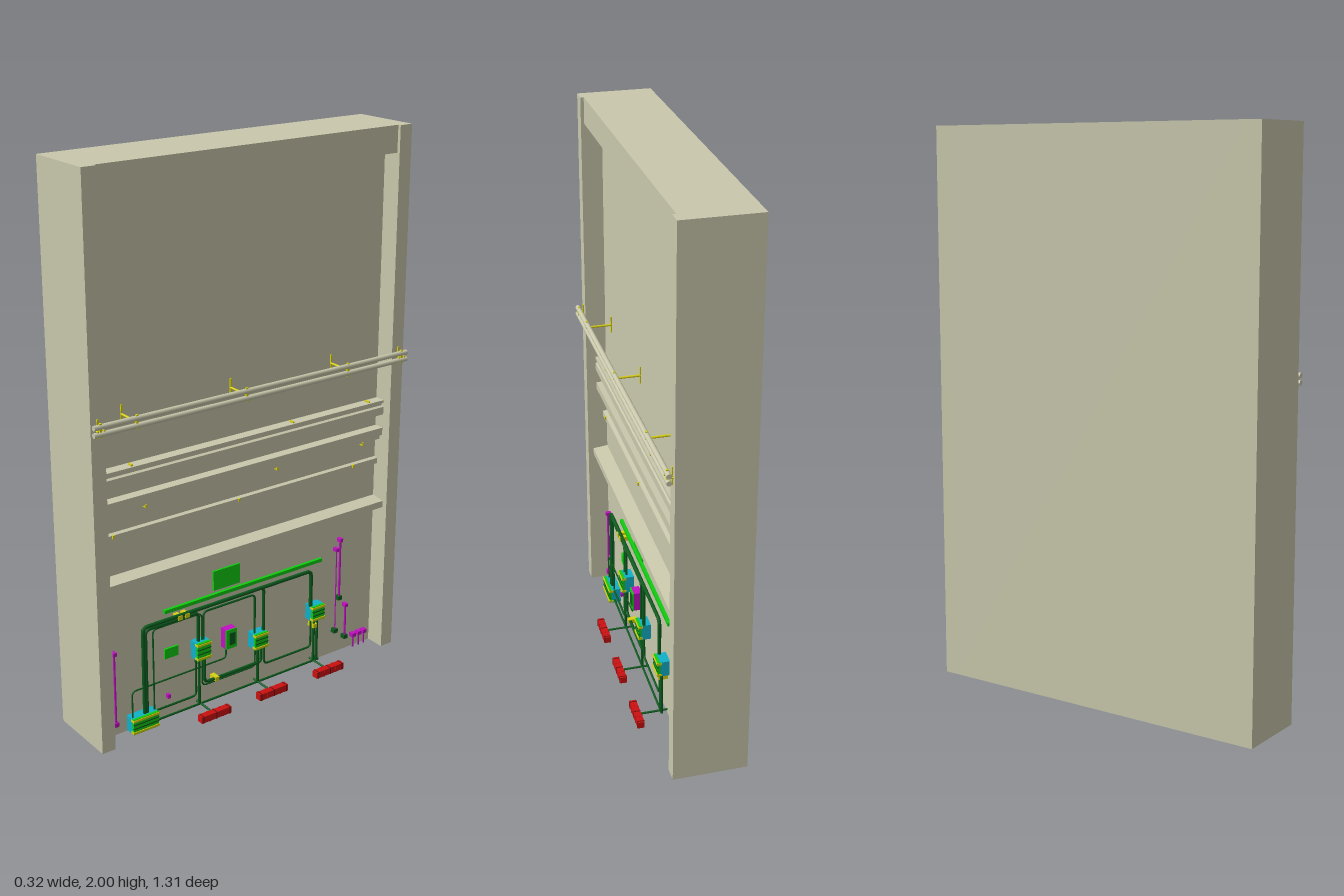
import * as THREE from 'three';

const mat = (color) => new THREE.MeshStandardMaterial({ color });
const M = {
  wall: mat(0xc9c8ac), green: mat(0x10cc10), pipe: mat(0x0a5a1c), yellow: mat(0xd8d010),
  magenta: mat(0xc010c0), cyan: mat(0x10b0c8), red: mat(0xcc1010), dark: mat(0x701010),
};
const WALL_X = 0.03; // face of the recessed panel
const PIPE_X = 0.055; // centre plane of the pipework

export function createModel() {
  const root = new THREE.Group();

  const add = (name, geo, material, parent = root) => {
    const mesh = new THREE.Mesh(geo, material);
    mesh.name = name;
    parent.add(mesh);
    return mesh;
  };
  const group = (name) => {
    const g = new THREE.Group();
    g.name = name;
    root.add(g);
    return g;
  };
  // Box given by its limits along each axis
  const box = (name, [x0, x1], [y0, y1], [z0, z1], material, parent) => {
    const m = add(name, new THREE.BoxGeometry(x1 - x0, y1 - y0, z1 - z0), material, parent);
    m.position.set((x0 + x1) / 2, (y0 + y1) / 2, (z0 + z1) / 2);
    return m;
  };
  // Rod along x
  const rodX = (name, x0, x1, y, z, r, material, parent) => {
    const m = add(name, new THREE.CylinderGeometry(r, r, x1 - x0, 10), material, parent);
    m.rotation.z = Math.PI / 2;
    m.position.set((x0 + x1) / 2, y, z);
    return m;
  };
  // Pipe through [z, y] points with rounded bends
  const pipe = (name, pts, r, parent, material = M.pipe, x = PIPE_X) => {
    const v = pts.map(([z, y]) => new THREE.Vector3(x, y, z));
    const path = new THREE.CurvePath();
    let from = v[0];
    for (let i = 1; i < v.length - 1; i++) {
      const a = v[i].clone().add(v[i - 1].clone().sub(v[i]).setLength(0.018));
      const b = v[i].clone().add(v[i + 1].clone().sub(v[i]).setLength(0.018));
      path.add(new THREE.LineCurve3(from, a));
      path.add(new THREE.QuadraticBezierCurve3(a, v[i], b));
      from = b;
    }
    path.add(new THREE.LineCurve3(from, v[v.length - 1]));
    return add(name, new THREE.TubeGeometry(path, Math.max(2, pts.length * 24), r, 8), material, parent);
  };

  // Wall: one section with lintel, recess and ledges, run between two columns
  const section = [
    [-0.16, 0], [WALL_X, 0], [WALL_X, 0.58], [0.085, 0.58], [0.085, 0.605], [WALL_X, 0.612],
    [WALL_X, 0.738], [0.045, 0.744], [0.045, 0.765], [WALL_X, 0.768],
    [WALL_X, 0.84], [0.055, 0.845], [0.055, 0.858], [0.068, 0.864], [0.068, 0.892], [WALL_X, 0.892],
    [WALL_X, 0.945], [0.07, 0.945], [0.07, 0.974], [0.06, 0.978], [0.06, 0.986], [0.07, 0.99],
    [0.07, 1.0], [WALL_X, 1.0], [WALL_X, 1.905], [0.093, 1.905], [0.093, 2], [-0.16, 2],
  ];
  const shape = new THREE.Shape(section.map(([x, y]) => new THREE.Vector2(x, y)));
  const wall = add('recessedWall', new THREE.ExtrudeGeometry(shape, { depth: 1.206, bevelEnabled: false }), M.wall);
  wall.position.z = -0.603;
  for (const s of [1, -1]) {
    const z = s > 0 ? [0.603, 0.655] : [-0.655, -0.603];
    box(s > 0 ? 'leftColumn' : 'rightColumn', [-0.16, 0.105], [0, 2], z, M.wall);
  }

  // Handrail: two tubes with brackets
  const rail = group('handrail');
  for (const y of [1.163, 1.188]) {
    const tube = add('railTube', new THREE.CylinderGeometry(0.009, 0.009, 1.31, 16), M.wall, rail);
    tube.rotation.x = Math.PI / 2;
    tube.position.set(0.123, y, 0);
  }
  for (const z of [0.63, 0.495, 0.06, -0.38, -0.63]) {
    const end = Math.abs(z) > 0.6;
    rodX('bracketArm', end ? 0.1 : WALL_X, 0.123, 1.175, z, 0.004, M.yellow, rail);
    const plateX = end ? 0.105 : WALL_X;
    box('bracketPlate', [plateX, plateX + 0.004], [1.145, 1.208], [z - 0.003, z + 0.003], M.yellow, rail);
    box('bracketClip', [0.119, 0.127], [1.152, 1.2], [z - 0.004, z + 0.004], M.yellow, rail);
    if (end) for (const d of [-0.012, 0.012])
      rodX('endBolt', 0.1, 0.13, 1.175, z + d, 0.003, M.yellow, rail);
  }

  // Small fixings along the ledges
  const fixings = group('ledgeFixings');
  const rows = [[1.0, 0.055, [0.48, -0.19, -0.54]], [0.842, 0.05, [0.425, -0.125, -0.52]], [0.76, 0.042, [0.55, 0.035, -0.485]]];
  for (const [y, x, zs] of rows) for (const z of zs)
    box('fixing', [x - 0.012, x + 0.008], [y - 0.006, y + 0.006], [z - 0.003, z + 0.003], M.yellow, fixings);

  // Green wall panels and cable tray
  const panels = group('wallPanels');
  const panelX = [WALL_X, WALL_X + 0.008];
  box('upperPanel', panelX, [0.435, 0.51], [0.025, 0.14], M.green, panels);
  box('cableTray', [WALL_X, WALL_X + 0.012], [0.41, 0.423], [-0.35, 0.35], M.green, panels);
  box('smallPanel', panelX, [0.232, 0.27], [0.293, 0.35], M.green, panels);
  box('controlBox', [WALL_X, 0.06], [0.2, 0.275], [0.058, 0.105], M.magenta, panels);
  box('controlBoxFace', [0.06, 0.064], [0.2, 0.275], [0.058, 0.105], M.green, panels);
  box('controlBoxDoor', [0.064, 0.067], [0.215, 0.262], [0.066, 0.092], M.pipe, panels);

  // Pipework
  const pipes = group('pipework');
  pipe('mainPipe', [[0.45, 0.06], [0.45, 0.395], [-0.288, 0.395], [-0.288, 0.25]], 0.007, pipes);
  pipe('innerMainPipe', [[0.44, 0.06], [0.44, 0.383], [0.22, 0.383], [0.22, 0.27]], 0.006, pipes);
  pipe('branchPipe', [[0.41, 0.06], [0.41, 0.375], [0.205, 0.375], [0.205, 0.27]], 0.003, pipes);
  pipe('upperLoop', [[0.198, 0.27], [0.198, 0.378], [-0.028, 0.378], [-0.028, 0.22]], 0.004, pipes);
  pipe('dropPipe', [[0.0, 0.395], [-0.068, 0.395], [-0.068, 0.22]], 0.006, pipes);
  pipe('lowerLoop', [[0.195, 0.2], [0.195, 0.095], [-0.058, 0.095], [-0.058, 0.16]], 0.006, pipes);
  pipe('innerLowerLoop', [[0.205, 0.2], [0.205, 0.085], [-0.03, 0.085], [-0.03, 0.16]], 0.003, pipes);
  pipe('rightLowerLoop', [[-0.072, 0.16], [-0.072, 0.08], [-0.29, 0.08], [-0.29, 0.19]], 0.004, pipes);
  pipe('feedPipe', [[0.41, 0.055], [0.232, 0.055], [0.232, 0.2]], 0.004, pipes);
  pipe('thinPipe', [[0.5, 0.06], [0.5, 0.163], [0.1, 0.163], [0.1, 0.2]], 0.003, pipes);
  pipe('floorPipe', [[0.41, 0.015], [-0.33, 0.015]], 0.004, pipes);
  for (const [z, y] of [[0.218, 0.2], [-0.042, 0.16], [-0.305, 0.19], [-0.32, 0.19]])
    pipe('outletPipe', [[z, y], [z, 0.015]], 0.005, pipes);
  for (const [z, y] of [[0.3, 0.389], [0.27, 0.389], [0.145, 0.095], [-0.306, 0.165]])
    box('pipeClamp', [WALL_X, 0.064], [y - 0.008, y + 0.008], [z - 0.009, z + 0.009], M.yellow, pipes);

  // Valve units: cyan body, green face and yellow bands
  const valve = (name, z, y0, y1, w) => {
    const g = group(name);
    const h = y1 - y0;
    box('body', [WALL_X, 0.065], [y0, y1], [z - w, z + w], M.cyan, g);
    box('face', [0.065, 0.075], [y0, y1], [z - w, z + w], M.green, g);
    for (const t of [0.12, 0.9])
      box('band', [0.06, 0.078], [y0 + h * t - 0.004, y0 + h * t + 0.004], [z - w - 0.002, z + w + 0.002], M.yellow, g);
    for (const t of [0.4, 0.65])
      box('rib', [0.07, 0.077], [y0 + h * t - 0.002, y0 + h * t + 0.002], [z - w, z + w], M.pipe, g);
  };
  valve('leftValve', 0.208, 0.2, 0.268, 0.028);
  valve('middleValve', -0.046, 0.16, 0.222, 0.028);
  valve('rightValve', -0.312, 0.192, 0.252, 0.028);
  valve('floorManifold', 0.457, 0.003, 0.062, 0.052);

  // Red floor units on short arms
  for (const z of [0.213, -0.043, -0.307]) {
    const g = group('floorUnit');
    rodX('arm', WALL_X, 0.135, 0.015, z, 0.004, M.pipe, g);
    box('body', [0.13, 0.155], [0.003, 0.028], [z - 0.064, z + 0.064], M.red, g);
    for (let i = -2; i <= 2; i++)
      box('rib', [0.129, 0.156], [0.002, 0.029], [z + i * 0.028 - 0.002, z + i * 0.028 + 0.002], i % 2 ? M.red : M.dark, g);
  }

  // Magenta conduits with end boxes
  const conduits = group('conduits');
  const runs = [[0.56, 0.05, 0.325, 0.004], [-0.437, 0.235, 0.475, 0.004], [-0.42, 0.1, 0.44, 0.002], [-0.47, 0.06, 0.195, 0.004]];
  for (const [z, y0, y1, r] of runs) {
    pipe('conduit', [[z, y0], [z, y1]], r, conduits, M.magenta, 0.042);
    box('topBox', [WALL_X, 0.05], [y1 - 0.008, y1 + 0.006], [z - 0.007, z + 0.007], M.magenta, conduits);
    box('bottomBox', [WALL_X, 0.05], [y0 - 0.008, y0 + 0.008], [z - 0.009, z + 0.009], z > 0 ? M.magenta : M.pipe, conduits);
  }
  for (const z of [-0.513, -0.541, -0.567]) {
    pipe('stub', [[z, 0], [z, 0.05]], 0.003, conduits, M.magenta, 0.042);
    box('socket', [WALL_X, 0.05], [0.045, 0.06], [z - 0.009, z + 0.009], M.magenta, conduits);
  }
  box('smallSocket', [WALL_X, 0.045], [0.075, 0.09], [0.333, 0.345], M.magenta, conduits);

  return root;
}
